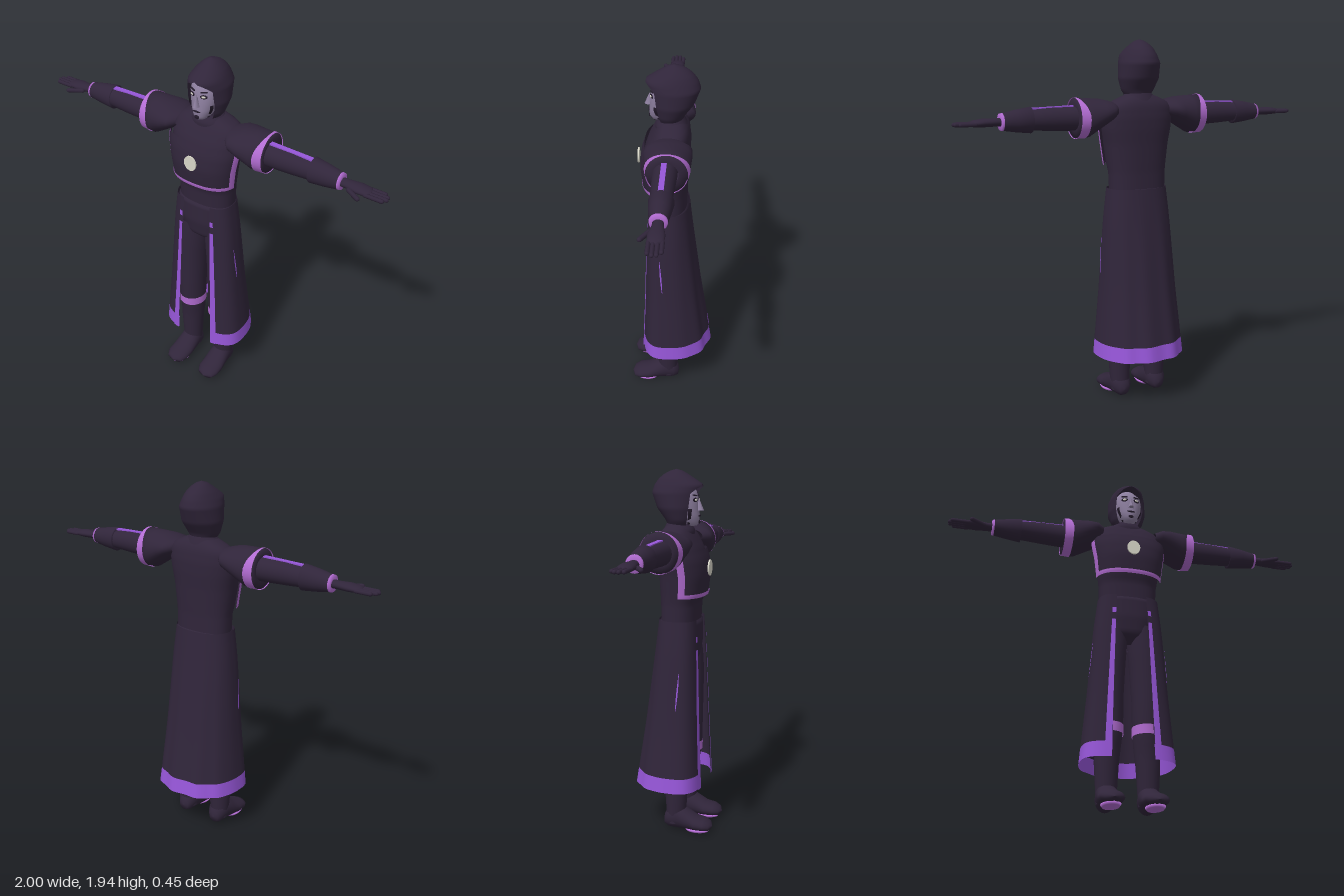
import * as THREE from 'three';

const mat = (name, color) => Object.assign(
  new THREE.MeshStandardMaterial({ color, side: THREE.DoubleSide }), { name });

// Surface over u, v in 0..1; f returns [x, y, z]
function surf(f, nu, nv, closed = false) {
  const pos = [], idx = [], cols = closed ? nu : nu + 1;
  for (let j = 0; j <= nv; j++)
    for (let i = 0; i < cols; i++) pos.push(...f(i / nu, j / nv));
  for (let j = 0; j < nv; j++)
    for (let i = 0; i < nu; i++) {
      const a = j * cols + i, b = j * cols + (i + 1) % cols, c = a + cols, d = b + cols;
      idx.push(a, b, c, b, d, c);
    }
  const g = new THREE.BufferGeometry();
  g.setAttribute('position', new THREE.Float32BufferAttribute(pos, 3));
  g.setIndex(idx);
  g.computeVertexNormals();
  return g;
}

// Straight interpolation in a table whose first column is the key
function row(table, k) {
  const up = table[0][0] < table[table.length - 1][0];
  const t = up ? table : [...table].reverse();
  if (k <= t[0][0]) return t[0];
  for (let i = 1; i < t.length; i++)
    if (k <= t[i][0]) {
      const s = (k - t[i - 1][0]) / (t[i][0] - t[i - 1][0]);
      return t[i].map((v, n) => t[i - 1][n] + (v - t[i - 1][n]) * s);
    }
  return t[t.length - 1];
}

// Superellipse outline from a row [y, halfWidth, zFront, zBack]; angle 0 is the front
function outline(table, ang, y, n = 2, grow = 0, cz = null) {
  const [, a, zf, zb] = row(table, y), c = cz ?? (zf + zb) / 2;
  const s = Math.sin(ang), k = Math.cos(ang), p = (v) => Math.sign(v) * Math.abs(v) ** (2 / n);
  return [(a + grow) * p(s), y, c + ((k > 0 ? zf - c : c - zb) + grow) * p(k)];
}
const bodyOf = (table, nv, n = 2) => {
  const y0 = table[0][0], y1 = table[table.length - 1][0];
  return surf((u, v) => outline(table, u * Math.PI * 2, y0 + (y1 - y0) * v, n), 40, nv, true);
};

// Rings [position, c1, c2, r1, r2] stacked along x, y or z
function loft(axis, rings, nu = 24) {
  return surf((u, v) => {
    const [p, c1, c2, r1, r2] = rings[Math.round(v * (rings.length - 1))];
    const s = Math.sin(u * Math.PI * 2), k = Math.cos(u * Math.PI * 2);
    if (axis === 'x') return [p, c1 - r1 * s, c2 + r2 * k];
    if (axis === 'y') return [c1 + r1 * s, p, c2 + r2 * k];
    return [c1 - r1 * s, c2 + r2 * k, p];
  }, nu, rings.length - 1, true);
}

function mirrored(g) {
  const m = g.clone().scale(-1, 1, 1), ix = m.index.array;
  for (let i = 0; i < ix.length; i += 3) [ix[i], ix[i + 1]] = [ix[i + 1], ix[i]];
  return m;
}

export function createModel() {
  const root = new THREE.Group();
  root.name = 'hoodedFigure';
  const cloth = mat('darkCloth', 0x30253a), purple = mat('purpleHem', 0x9656d8);
  const trim = mat('mauveTrim', 0xb26cd2), skin = mat('paleSkin', 0x8d7f9f);
  const pale = mat('palePlate', 0xd8d6c8), ink = mat('darkFeature', 0x241b2b);

  const add = (name, geo, m) => {
    const mesh = new THREE.Mesh(geo, m);
    mesh.name = name;
    root.add(mesh);
  };
  const pair = (name, geo, m) => {
    add(name + 'Left', geo, m);
    add(name + 'Right', mirrored(geo), m);
  };

  // Torso, hips and collar
  const torso = [[1.15, .155, .115, -.08], [1.25, .158, .12, -.08], [1.3, .165, .138, -.083],
    [1.4, .178, .15, -.088], [1.48, .192, .142, -.094], [1.54, .195, .122, -.095],
    [1.6, .185, .09, -.088], [1.63, .14, .07, -.075], [1.66, .06, .05, -.05]];
  add('torso', bodyOf(torso, 30, 2.4), cloth);
  add('hips', bodyOf([[.9, .04, .06, -.04], [.95, .13, .11, -.08], [1.04, .155, .125, -.085],
    [1.155, .163, .124, -.09], [1.165, .15, .11, -.08]], 18, 2.4), cloth);
  add('collar', bodyOf([[1.595, .12, .085, -.085], [1.63, .1, .085, -.075],
    [1.665, .07, .065, -.06]], 6), cloth);

  // Breastplate with its trim and round plate
  const chest = (a0, a1, y0, y1, grow, nu = 30) => surf((u, v) =>
    outline(torso, a0 + (a1 - a0) * u, y0 + (y1 - y0) * v, 2.4, grow), nu, 10);
  add('breastplate', chest(-1.4, 1.4, 1.29, 1.53, .014), cloth);
  add('breastplateHem', chest(-1.45, 1.45, 1.288, 1.31, .018), trim);
  pair('breastplateEdge', chest(1.2, 1.45, 1.3, 1.51, .018, 6), trim);
  add('chestPlate', new THREE.CylinderGeometry(.036, .036, .008, 16).rotateX(Math.PI / 2)
    .scale(1, 1.15, 1).translate(0, 1.435, .172), pale);

  // Long coat skirt, open at the front
  const coat = [[.25, .245, .16, -.22], [.6, .213, .145, -.165], [1.0, .183, .132, -.112],
    [1.165, .163, .126, -.093]];
  const angAt = (x, y) => Math.asin((x / row(coat, y)[1]) ** 1.5);
  const edge = (y) => .083 + .027 * (1.1 - y) / .85;
  const skirt = (ang, y, grow = 0) => {
    const p = outline(coat, ang, y, ang > Math.PI / 2 && ang < Math.PI * 1.5 ? 2.25 : 3, grow, .02);
    if (Math.cos(ang) < 0) p[2] += .007 * Math.cos(ang) * Math.sin(ang * 11) * (1.165 - y);
    return p;
  };
  const coatBand = (y0, y1) => surf((u, v) => {
    const y = y0 + (y1 - y0) * v, a = angAt(edge(y), y);
    return skirt(a + (Math.PI * 2 - 2 * a) * u, y);
  }, 72, 12);
  add('coatSkirt', coatBand(.33, 1.165), cloth);
  add('coatHem', coatBand(.25, .33), purple);
  const coatStrip = (y0, y1) => surf((u, v) => {
    const y = y0 + (y1 - y0) * v, x = edge(y), w = .02 + .02 * (1 - y);
    return skirt(angAt(x + w * u, y), y, .005);
  }, 4, 12);
  pair('coatFrontStripe', coatStrip(.25, 1.01), purple);
  pair('coatTab', coatStrip(1.05, 1.08), purple);
  pair('coatSideSlash', surf((u, v) => {
    const y = .7 + .2 * v, w = .05 * Math.sin(Math.PI * (.08 + .84 * v));
    return skirt(1.49 - .1 * v + w * (u - .5), y, .006);
  }, 2, 8), purple);

  // Legs, knee bands and boots
  pair('leg', loft('y', [[.04, .108, .015, .05, .05], [.12, .108, .02, .055, .055],
    [.25, .108, .02, .063, .063], [.34, .103, .02, .068, .072], [.43, .096, .03, .07, .078],
    [.6, .1, .025, .076, .085], [.8, .095, .02, .083, .095], [.92, .088, .02, .086, .095],
    [1.0, .08, .02, .07, .09]]), cloth);
  pair('kneeBand', loft('y', [[.4, .098, .029, .074, .08], [.45, .098, .029, .074, .082]]), trim);
  pair('boot', loft('z', [[-.045, .108, .05, 0, 0], [-.04, .108, .055, .03, .035],
    [-.015, .108, .07, .05, .062], [.03, .108, .08, .056, .074], [.08, .108, .064, .06, .058],
    [.13, .11, .047, .064, .041], [.18, .111, .042, .062, .034], [.21, .111, .036, .045, .024],
    [.225, .111, .034, 0, 0]]), cloth);
  pair('bootSole', loft('y', [[0, .111, .14, 0, 0], [.001, .111, .14, .042, .062],
    [.014, .111, .14, .05, .072], [.016, .111, .14, 0, 0]]), trim);

  // Shoulder guards
  pair('shoulderGuard', loft('x', [[.15, 1.58, .01, .04, .08], [.185, 1.575, .01, .055, .118],
    [.23, 1.565, .01, .075, .12], [.3, 1.545, .008, .1, .112], [.366, 1.545, .006, .102, .098],
    [.366, 1.545, .01, .06, .06]], 32), cloth);
  pair('shoulderTrim', surf((u, v) => {
    const s = Math.sin(u * Math.PI * 2), k = Math.cos(u * Math.PI * 2);
    const x0 = .322 + .034 * Math.max(0, -s) ** 2, x = x0 + (.369 - x0) * v;
    const rz = .116 - (x - .3) * .2;
    return [x, 1.545 - .105 * s, .007 + rz * k];
  }, 32, 4, true), trim);

  // Sleeves and cuffs
  pair('sleeve', loft('x', [[.3, 1.543, .015, .062, .06], [.37, 1.543, .015, .062, .06],
    [.5, 1.545, .017, .059, .055], [.61, 1.545, .017, .052, .05]]), cloth);
  pair('sleeveStripe', new THREE.BoxGeometry(.235, .008, .026)
    .rotateZ(-.027).translate(.485, 1.603, .018), purple);
  pair('cuff', loft('x', [[.603, 1.545, .015, .045, .045], [.603, 1.545, .015, .066, .06],
    [.68, 1.543, .017, .056, .052], [.752, 1.541, .018, .043, .042]]), cloth);
  pair('cuffTrim', loft('x', [[.75, 1.541, .018, .044, .043], [.762, 1.541, .018, .042, .041],
    [.762, 1.541, .018, .015, .02]]), trim);

  // Hands
  pair('palm', loft('x', [[.74, 1.54, .018, .022, .025], [.79, 1.54, .018, .02, .028],
    [.85, 1.54, .02, .021, .04], [.9, 1.538, .02, .016, .037], [.92, 1.537, .02, 0, 0]]), cloth);
  const finger = (len, r) => new THREE.CapsuleGeometry(r, len - 2 * r, 4, 8).rotateZ(Math.PI / 2);
  [.095, .115, .118, .105].forEach((len, i) =>
    pair('finger' + (i + 1), finger(len, .0105).translate(.882 + len / 2, 1.536, -.01 + i * .02), cloth));
  pair('thumb', finger(.1, .012).rotateY(-.55).translate(.842, 1.532, .07), cloth);

  // Hood with an open front
  const hood = [[1.64, .062, .07, -.05], [1.68, .088, .09, -.065], [1.74, .106, .11, -.11],
    [1.82, .103, .125, -.14], [1.86, .088, .135, -.127], [1.89, .07, .09, -.105],
    [1.915, .047, .05, -.075], [1.932, .025, .02, -.04], [1.94, 0, -.01, -.01]];
  const opening = [[1.64, .85], [1.7, .85], [1.82, .8], [1.845, .5], [1.865, 0], [1.95, 0]];
  add('hood', surf((u, v) => {
    const y = 1.64 + .3 * v, a = row(opening, y)[1];
    return outline(hood, a + (Math.PI * 2 - 2 * a) * u, y);
  }, 40, 32), cloth);

  // Face
  add('face', loft('y', [[1.645, 0, .05, 0, 0], [1.652, 0, .06, .025, .04], [1.675, 0, .055, .047, .058],
    [1.71, 0, .045, .062, .068], [1.75, 0, .035, .073, .074], [1.79, 0, .03, .077, .076],
    [1.83, 0, .025, .072, .07], [1.87, 0, .01, .045, .05], [1.885, 0, 0, 0, 0]], 32), skin);
  add('nose', new THREE.ConeGeometry(.016, .06, 8).scale(1, 1, 1.6).translate(0, 1.76, .112), skin);
  const spot = (w, h, x, y, z, turn) => new THREE.SphereGeometry(1, 12, 8)
    .scale(w, h, .004).rotateY(turn).translate(x, y, z);
  pair('eyeSocket', spot(.019, .011, .034, 1.785, .1, .4), ink);
  pair('eye', spot(.011, .006, .034, 1.785, .103, .4), pale);
  pair('eyebrow', new THREE.BoxGeometry(.034, .006, .006).rotateZ(.12).rotateY(.4)
    .translate(.034, 1.808, .0975), ink);
  add('mouth', spot(.024, .005, 0, 1.703, .115, 0), ink);
  add('chinBeard', spot(.014, .01, 0, 1.672, .113, 0), ink);
  pair('sideBeard', surf((u, v) => {
    const y = 1.66 + .08 * v, a = 1.0 + .25 * u;
    const r = .04 + .034 * Math.min(1, v * 1.3);
    return [r * Math.sin(a), y, .045 + (r + .008) * Math.cos(a)];
  }, 3, 6), ink);

  return root;
}
